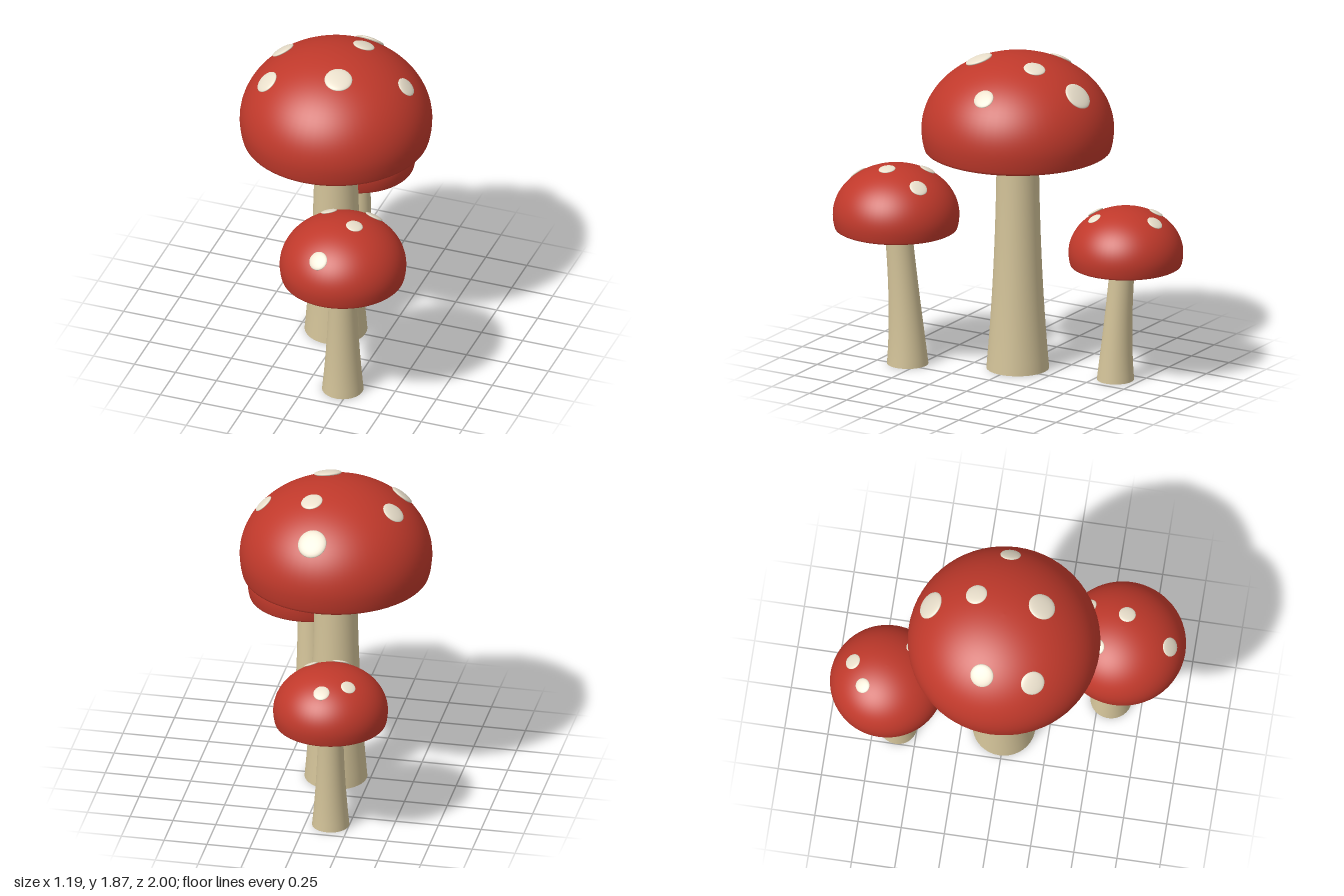
import * as THREE from 'three';
import { mergeVertices } from 'three/addons/utils/BufferGeometryUtils.js';

const material = (color, side = THREE.FrontSide) => new THREE.MeshStandardMaterial({ color, side });
const RED = material(0xc0392b, THREE.DoubleSide);
const STEM = material(0xd2c298, THREE.DoubleSide);
const GILL = material(0xb5a684, THREE.DoubleSide);
const SPOT = material(0xeae0cc);

const DOME = 0.8;   // dome height above the widest ring, per cap radius
const SKIRT = 0.22; // drop from the widest ring to the rim, per cap radius

function mesh(name, geometry, mat) {
  const m = new THREE.Mesh(geometry, mat);
  m.name = name;
  return m;
}

// Open tube that flares at the foot and leans from base to top
function stemGeometry(base, top, height, rBase, rTop) {
  let g = new THREE.CylinderGeometry(1, 1, 1, 40, 20, true);
  g.deleteAttribute('uv');
  g.deleteAttribute('normal');
  g = mergeVertices(g);
  const p = g.attributes.position;
  for (let i = 0; i < p.count; i++) {
    const t = p.getY(i) + 0.5;
    const r = rTop + (rBase - rTop) * (1 - t) ** 2.2;
    const lean = t ** 1.4;
    p.setXYZ(i,
      base[0] + (top[0] - base[0]) * lean + p.getX(i) * r,
      t * height,
      base[1] + (top[1] - base[1]) * lean + p.getZ(i) * r);
  }
  g.computeVertexNormals();
  return g;
}

// Elliptic dome with a short tucked-in skirt, origin at the widest ring
function capGeometry(r) {
  const pts = [[0.955, -SKIRT], [0.968, -0.213], [0.976, -0.19], [0.99, -0.12], [0.998, -0.05]]
    .map(([x, y]) => new THREE.Vector2(x * r, y * r));
  for (let i = 0; i <= 28; i++) {
    const a = (i / 28) * Math.PI / 2;
    pts.push(new THREE.Vector2(i === 28 ? 0 : Math.cos(a) * r, Math.sin(a) * r * DOME));
  }
  return new THREE.LatheGeometry(pts, 64);
}

// Shallow hollow cone under the cap, with a hole for the stem
function gillGeometry(r) {
  return new THREE.LatheGeometry([
    new THREE.Vector2(0.24 * r, -0.02 * r),
    new THREE.Vector2(0.6 * r, -0.12 * r),
    new THREE.Vector2(0.955 * r, -SKIRT * r),
  ], 64);
}

// Flat lens lying on the dome at offset (dx, dz) from the cap axis
function spot(dx, dz, size, r) {
  const y = DOME * Math.sqrt(Math.max(0, r * r - dx * dx - dz * dz));
  const normal = new THREE.Vector3(dx, y / (DOME * DOME), dz).normalize();
  const m = mesh('spot', new THREE.SphereGeometry(size, 28, 14), SPOT);
  m.scale.y = 0.2;
  m.quaternion.setFromUnitVectors(new THREE.Vector3(0, 1, 0), normal);
  m.position.set(dx, y, dz).addScaledVector(normal, 0.002);
  return m;
}

function mushroom({ name, cap, r, rim, base, stemTop, rBase, rTop, spots }) {
  const group = new THREE.Group();
  group.name = name;
  const ring = rim + SKIRT * r;
  group.add(mesh('stem', stemGeometry(base, stemTop, ring + 0.1 * r, rBase, rTop), STEM));

  const head = new THREE.Group();
  head.name = 'cap';
  head.position.set(cap[0], ring, cap[1]);
  head.add(mesh('capDome', capGeometry(r), RED), mesh('gills', gillGeometry(r), GILL));
  for (const [x, z, size] of spots) head.add(spot(x - cap[0], z - cap[1], size, r));
  group.add(head);
  return group;
}

export function createModel() {
  const model = new THREE.Group();
  model.name = 'mushrooms';
  model.add(
    mushroom({
      name: 'largeMushroom', cap: [-0.05, -0.01], r: 0.552, rim: 1.31,
      base: [-0.05, -0.01], stemTop: [-0.05, -0.01], rBase: 0.18, rTop: 0.121,
      spots: [[0, -0.44, 0.084], [0.055, -0.185, 0.063], [-0.4, -0.085, 0.068],
        [-0.39, 0.207, 0.07], [0.04, 0.195, 0.08], [0.367, -0.035, 0.059]],
    }),
    mushroom({
      name: 'frontMushroom', cap: [0.23, 0.635], r: 0.363, rim: 0.81,
      base: [0.206, 0.572], stemTop: [0.23, 0.635], rBase: 0.119, rTop: 0.078,
      spots: [[0.34, 0.42, 0.053], [0.305, 0.65, 0.049], [0.183, 0.915, 0.055], [0.097, 0.505, 0.047]],
    }),
    mushroom({
      name: 'backMushroom', cap: [-0.155, -0.67], r: 0.329, rim: 0.695,
      base: [-0.143, -0.608], stemTop: [-0.153, -0.66], rBase: 0.107, rTop: 0.071,
      spots: [[-0.283, -0.793, 0.043], [-0.143, -0.87, 0.047], [-0.015, -0.545, 0.04], [-0.17, -0.46, 0.048]],
    }),
  );
  return model;
}
